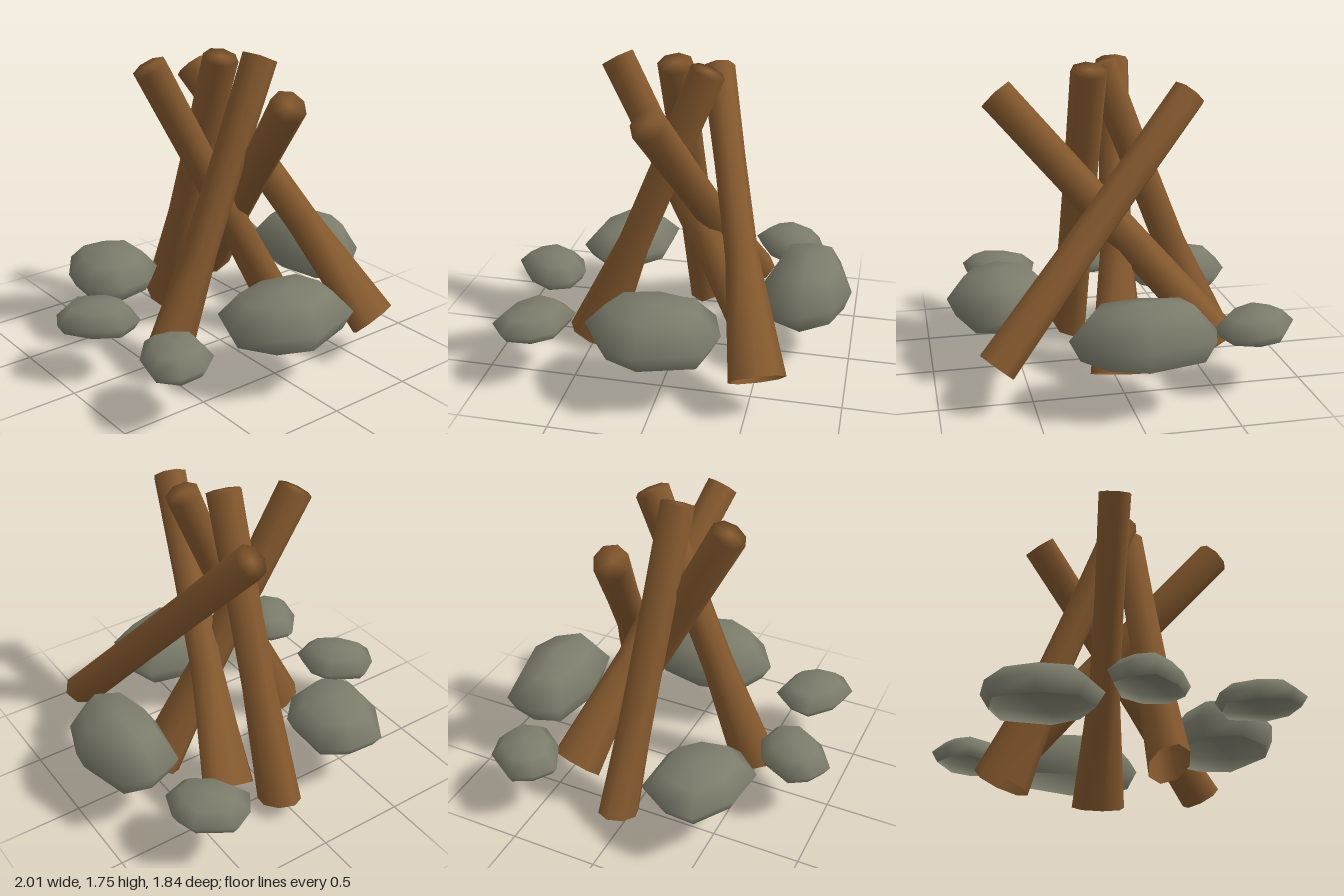
import * as THREE from 'three';

const bark = new THREE.MeshStandardMaterial({ color: 0x85592e, side: THREE.DoubleSide });
bark.name = 'brown bark';
const stone = new THREE.MeshStandardMaterial({ color: 0x7b7c6b, side: THREE.DoubleSide });
stone.name = 'grey stone';

// Smooth skin over a stack of rings, open at the bottom, closed by a tip point
function loft(rings, tip) {
  const n = rings[0].length;
  const index = [];
  for (let r = 0; r < rings.length; r++) {
    for (let i = 0; i < n; i++) {
      const a = r * n + i;
      const b = r * n + (i + 1) % n;
      if (r < rings.length - 1) index.push(a, b, b + n, a, b + n, a + n);
      else index.push(a, b, rings.length * n);
    }
  }
  const geometry = new THREE.BufferGeometry().setFromPoints([...rings.flat(), tip]);
  geometry.setIndex(index);
  geometry.computeVertexNormals();
  return geometry;
}

// Log sections: position along the log, radius across the flare, radius beside it
const LOG_SECTIONS = [[0, 0.155, 0.107], [0.38, 0.09, 0.1], [0.68, 0.088, 0.098], [1, 0.096, 0.1]];

function makeLog(from, to, flare) {
  const start = new THREE.Vector3(...from);
  const end = new THREE.Vector3(...to);
  const axis = end.clone().sub(start).normalize();
  const u = new THREE.Vector3(...flare);
  u.addScaledVector(axis, -u.dot(axis)).normalize();
  const v = axis.clone().cross(u);
  const rings = LOG_SECTIONS.map(([t, ru, rv]) => {
    const centre = start.clone().lerp(end, t);
    return Array.from({ length: 8 }, (_, i) => {
      const a = i * Math.PI / 4;
      return centre.clone()
        .addScaledVector(u, Math.cos(a) * ru)
        .addScaledVector(v, Math.sin(a) * rv);
    });
  });
  return new THREE.Mesh(loft(rings, end.clone().addScaledVector(axis, 0.008)), bark);
}

// Uneven eight-sided stone outline, and its profile as height and radius fractions
const OUTLINE = [[-0.06, -0.99], [-0.77, -0.82], [-1, 0], [-0.77, 0.75],
  [-0.04, 1], [0.68, 0.65], [1, 0.07], [0.64, -0.86]];
const STONE_PROFILE = [[0, 0.85], [0.38, 1], [0.86, 0.68]];

function makeStone(x, z, halfWidth, halfLength, turn, height) {
  const rings = STONE_PROFILE.map(([h, r]) => OUTLINE.map(([px, pz]) =>
    new THREE.Vector3(px * r * halfWidth, h * height, pz * r * halfLength)));
  const mesh = new THREE.Mesh(loft(rings, new THREE.Vector3(0, height, 0)), stone);
  mesh.position.set(x, 0.33, z);
  mesh.rotation.y = -THREE.MathUtils.degToRad(turn);
  return mesh;
}

export function createModel() {
  const model = new THREE.Group();
  model.name = 'campfire';

  // Leaning logs: foot, top, flare direction of the foot
  const logs = new THREE.Group();
  logs.name = 'logs';
  [
    ['backLog', [0.04, 0.075, -0.62], [-0.02, 1.735, 0.03], [0, 0, 1]],
    ['rightLog', [-0.49, 0.075, 0.13], [0.175, 1.73, 0.125], [1, 0, 0]],
    ['frontLeftLog', [0.56, 0.26, 0.695], [0.13, 1.585, -0.44], [1, 0, 0]],
    ['backLeftLog', [0.34, 0.27, -0.55], [-0.035, 1.59, 0.6], [1, 0, 0]],
    ['leftLog', [0.445, 0.11, 0.02], [-0.38, 1.705, -0.12], [0, 0, 1]],
  ].forEach(([name, from, to, flare]) => {
    const log = makeLog(from, to, flare);
    log.name = name;
    logs.add(log);
  });

  // Ring of stones: x, z, half width, half length, turn in degrees, height
  const stones = new THREE.Group();
  stones.name = 'stones';
  [
    ['leftStone', 0.74, -0.05, 0.25, 0.393, 0, 0.3],
    ['backRightStone', -0.41, -0.51, 0.265, 0.32, 20, 0.205],
    ['rightStone', -0.785, -0.07, 0.185, 0.235, -45, 0.15],
    ['frontRightStone', -0.705, 0.55, 0.19, 0.235, 28, 0.135],
    ['frontStone', -0.025, 0.605, 0.3, 0.375, 90, 0.265],
    ['backLeftStone', 0.58, -0.705, 0.19, 0.235, -40, 0.145],
  ].forEach(([name, ...shape]) => {
    const rock = makeStone(...shape);
    rock.name = name;
    stones.add(rock);
  });

  model.add(logs, stones);
  return model;
}
